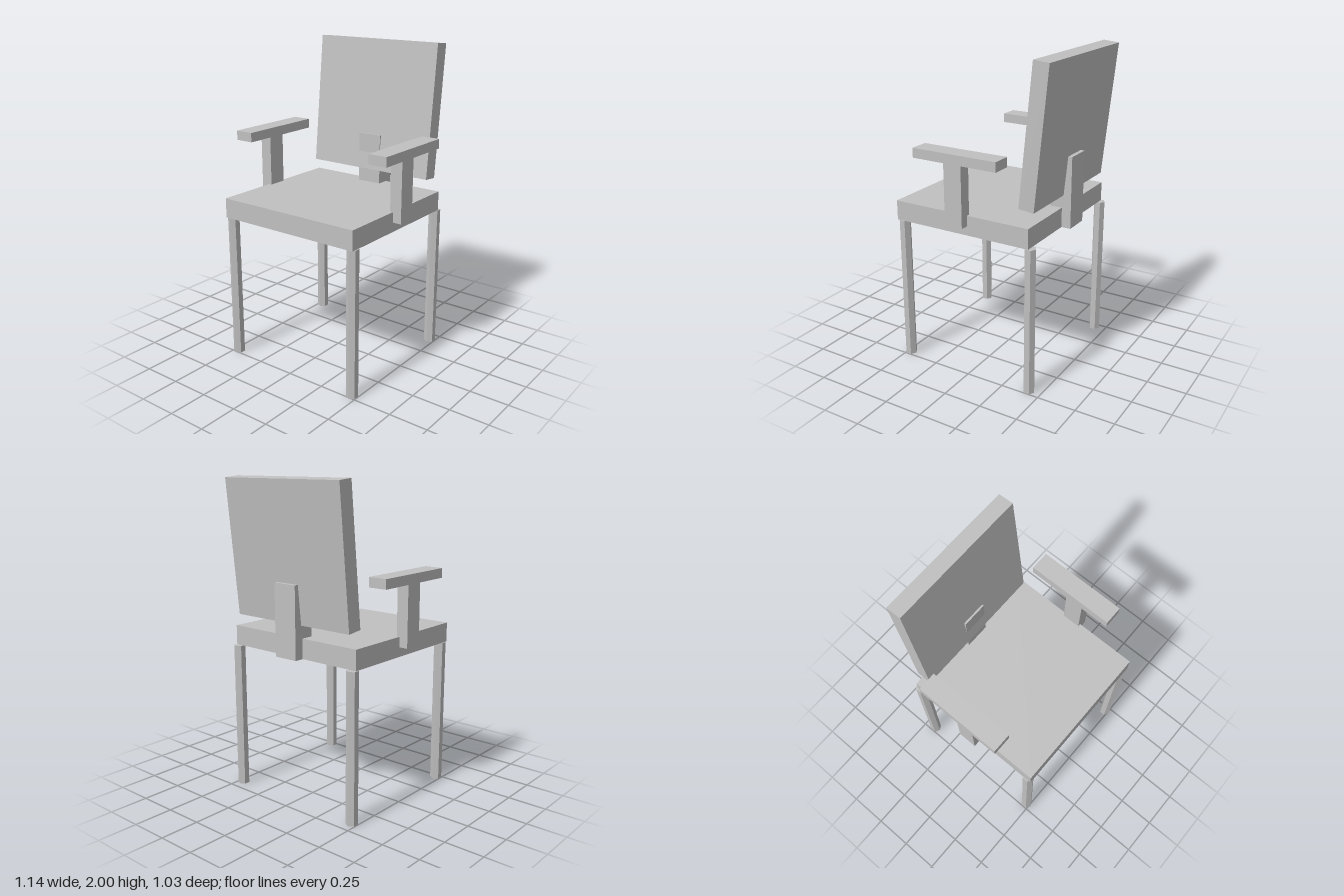
import * as THREE from 'three';

export function createModel() {
  const model = new THREE.Group();
  model.name = 'armchair';

  const grey = new THREE.MeshStandardMaterial({ color: 0xc0c0c0, flatShading: true });
  grey.name = 'grey';

  const add = (name, geometry, x, y, z) => {
    const mesh = new THREE.Mesh(geometry, grey);
    mesh.name = name;
    mesh.position.set(x, y, z);
    model.add(mesh);
    return mesh;
  };

  // Box given by its lower and upper corners
  const box = (name, [x0, y0, z0], [x1, y1, z1]) =>
    add(name, new THREE.BoxGeometry(x1 - x0, y1 - y0, z1 - z0),
      (x0 + x1) / 2, (y0 + y1) / 2, (z0 + z1) / 2);

  // Seat slab
  box('seat', [-0.49, 0.94, -0.42], [0.49, 1.065, 0.513]);

  // Backrest leaning to the rear, carried by an upright bracket
  const backrest = add('backrest', new THREE.BoxGeometry(0.894, 0.85, 0.1), 0, 1.573, -0.422);
  backrest.rotation.x = -0.1;
  box('backSupport', [-0.082, 0.94, -0.48], [0.082, 1.39, -0.341]);

  // Hexagonal legs and armrests, mirrored left and right
  const legGeometry = new THREE.CylinderGeometry(0.037, 0.037, 0.94, 6);
  for (const [side, s] of [['left', 1], ['right', -1]]) {
    add(side + 'FrontLeg', legGeometry, s * 0.465, 0.47, 0.475);
    add(side + 'RearLeg', legGeometry, s * 0.465, 0.47, -0.421);
    add(side + 'ArmPost', new THREE.BoxGeometry(0.077, 0.39, 0.12), s * 0.508, 1.195, 0.051);
    add(side + 'Armrest', new THREE.BoxGeometry(0.122, 0.06, 0.568), s * 0.509, 1.42, 0.026);
  }

  return model;
}
